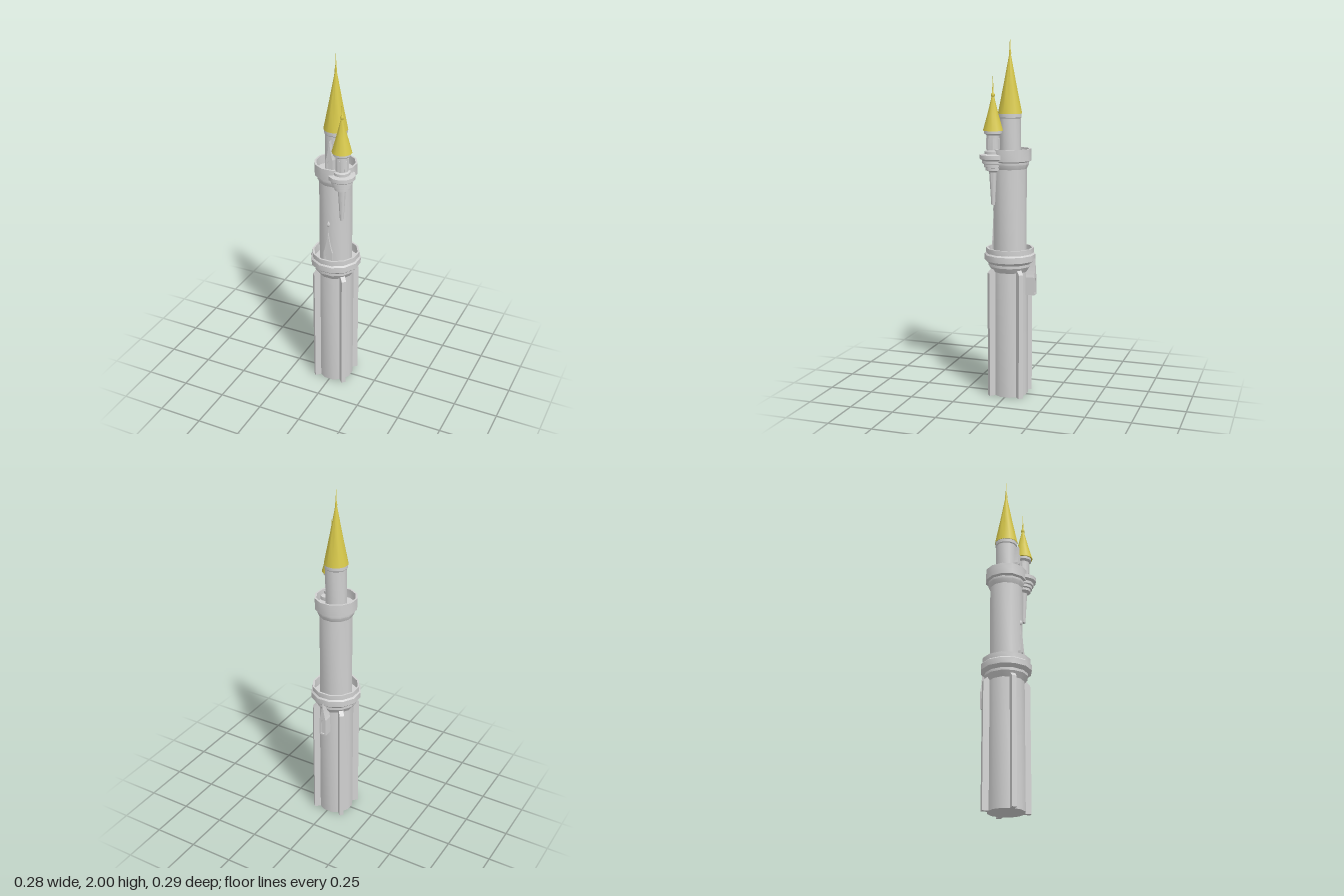
import * as THREE from 'three';
import { toCreasedNormals } from 'three/addons/utils/BufferGeometryUtils.js';

const stone = new THREE.MeshStandardMaterial({ color: 0xd0d0d0 });
stone.name = 'paleStone';
const gold = new THREE.MeshStandardMaterial({ color: 0xd8c94a });
gold.name = 'goldRoof';

const SIDES = 12;

function add(parent, name, geometry, material) {
  const mesh = new THREE.Mesh(geometry, material);
  mesh.name = name;
  parent.add(mesh);
  return mesh;
}

// Twelve-sided turned part; radii are measured to the flats
function turned(parent, name, profile, material, sides = SIDES) {
  const k = 1 / Math.cos(Math.PI / sides);
  const points = profile.map(([r, y]) => new THREE.Vector2(r * k, y));
  const geo = new THREE.LatheGeometry(points, sides);
  geo.rotateY(Math.PI / sides);
  return add(parent, name, toCreasedNormals(geo, sides < 12 ? 1.1 : 0.56), material);
}

// Outline of a narrow niche with a steep, slightly hollow gable
function gableShape(w, shoulder, apex) {
  const s = new THREE.Shape();
  s.moveTo(-w / 2, 0);
  s.lineTo(w / 2, 0);
  s.lineTo(w / 2, shoulder);
  s.quadraticCurveTo(w * 0.2, shoulder + (apex - shoulder) * 0.35, 0, apex);
  s.quadraticCurveTo(-w * 0.2, shoulder + (apex - shoulder) * 0.35, -w / 2, shoulder);
  return s;
}

// Gabled niche: solid body, arched front frame and optional finial
function gabledNiche(name, { w, shoulder, apex, depth, finial }) {
  const niche = new THREE.Group();
  niche.name = name;
  const frame = 0.007;
  const options = { bevelEnabled: false, curveSegments: 5 };
  add(niche, 'nicheBody', new THREE.ExtrudeGeometry(
    gableShape(w, shoulder, apex), { ...options, depth: depth - frame }), stone);

  const front = gableShape(w, shoulder, apex);
  const hw = w * 0.29;
  const hole = new THREE.Path();
  hole.moveTo(-hw, 0.008);
  hole.lineTo(-hw, shoulder * 0.65);
  hole.quadraticCurveTo(-hw, shoulder * 0.9, 0, shoulder);
  hole.quadraticCurveTo(hw, shoulder * 0.9, hw, shoulder * 0.65);
  hole.lineTo(hw, 0.008);
  front.holes.push(hole);
  const face = add(niche, 'archedFrame',
    new THREE.ExtrudeGeometry(front, { ...options, depth: frame }), stone);
  face.position.z = depth - frame;

  if (finial) {
    const f = turned(niche, 'nicheFinial', [
      [0.003, apex - 0.02], [0.003, apex + 0.035], [0.008, apex + 0.045],
      [0.007, apex + 0.058], [0, apex + 0.07]], stone, 6);
    f.position.z = depth - 0.008;
  }
  return niche;
}

export function createModel() {
  const model = new THREE.Group();
  model.name = 'tower';

  const main = new THREE.Group();
  main.name = 'mainTower';
  main.position.x = -0.003;
  model.add(main);

  // Lower shaft and its walkway with parapet
  turned(main, 'lowerShaft', [[0, 0], [0.098, 0], [0.098, 0.73]], stone);
  turned(main, 'lowerParapet', [
    [0.098, 0.71], [0.117, 0.74], [0.117, 0.755], [0.13, 0.765], [0.137, 0.772],
    [0.137, 0.805], [0.129, 0.813], [0.129, 0.841], [0.119, 0.841],
    [0.119, 0.79], [0, 0.79]], stone);

  // Diagonal pilasters with sloping tops
  for (let i = 0; i < 4; i++) {
    const side = new THREE.Shape();
    side.moveTo(0.08, 0);
    side.lineTo(0.133, 0);
    side.lineTo(0.133, 0.705);
    side.lineTo(0.1, 0.74);
    side.lineTo(0.08, 0.74);
    const geo = new THREE.ExtrudeGeometry(side, { depth: 0.026, bevelEnabled: false });
    geo.translate(0, 0, -0.013);
    const pilaster = add(main, 'pilaster', geo, stone);
    pilaster.rotation.y = Math.PI / 4 + i * Math.PI / 2;
  }

  // Middle shaft and upper parapet
  turned(main, 'middleShaft', [[0.089, 0.78], [0.089, 1.3]], stone);
  turned(main, 'upperParapet', [
    [0.089, 1.28], [0.1, 1.305], [0.1, 1.318], [0.113, 1.325],
    [0.113, 1.39], [0.103, 1.39], [0.103, 1.34], [0, 1.34]], stone);

  // Top shaft, cornice, roof and spike
  turned(main, 'topShaft', [
    [0.057, 1.33], [0.057, 1.555], [0.061, 1.56], [0.061, 1.585]], stone);
  turned(main, 'mainRoof', [[0, 1.58], [0.064, 1.58], [0.034, 1.735], [0.005, 1.895]], gold);
  turned(main, 'mainSpike', [
    [0.005, 1.885], [0.006, 1.905], [0.003, 1.925], [0, 2]], gold, 6);

  // Gabled niches: two at the front, one hanging oriel at the back
  const middleNiche = gabledNiche('middleNiche',
    { w: 0.052, shoulder: 0.085, apex: 0.21, depth: 0.03, finial: true });
  middleNiche.position.set(-0.002, 0.79, 0.069);
  main.add(middleNiche);
  const topNiche = gabledNiche('topNiche',
    { w: 0.04, shoulder: 0.09, apex: 0.2, depth: 0.035, finial: false });
  topNiche.position.set(0, 1.34, 0.048);
  main.add(topNiche);
  const oriel = gabledNiche('backOriel',
    { w: 0.04, shoulder: 0.1, apex: 0.205, depth: 0.06, finial: false });
  oriel.position.set(0, 0.58, -0.088);
  oriel.rotation.y = Math.PI;
  main.add(oriel);

  // Corner turret on a stepped corbel
  const turret = new THREE.Group();
  turret.name = 'cornerTurret';
  turret.position.set(0.067, 0, 0.074);
  model.add(turret);
  turned(turret, 'turretCorbel', [
    [0, 1.085], [0.01, 1.085], [0.021, 1.265], [0.028, 1.272], [0.04, 1.275], [0.04, 1.29],
    [0.049, 1.293], [0.049, 1.308], [0.057, 1.312], [0.057, 1.328],
    [0.071, 1.338], [0.071, 1.36], [0.045, 1.365], [0.045, 1.38], [0.034, 1.385]], stone);
  turned(turret, 'turretBody', [
    [0.034, 1.37], [0.034, 1.465], [0.046, 1.475], [0.046, 1.495]], stone);
  turned(turret, 'turretRoof', [
    [0, 1.49], [0.053, 1.49], [0.03, 1.575], [0.012, 1.65], [0.006, 1.68]], gold);
  turned(turret, 'turretSpike', [
    [0.005, 1.665], [0.009, 1.675], [0.009, 1.685], [0.004, 1.695],
    [0.003, 1.72], [0, 1.79]], gold, 6);

  // Slit windows around the turret
  for (let i = 0; i < 6; i++) {
    const a = i * Math.PI / 3;
    const slit = add(turret, 'turretSlit', new THREE.BoxGeometry(0.012, 0.06, 0.006), stone);
    slit.position.set(Math.sin(a) * 0.034, 1.42, Math.cos(a) * 0.034);
    slit.rotation.y = a;
  }

  return model;
}
